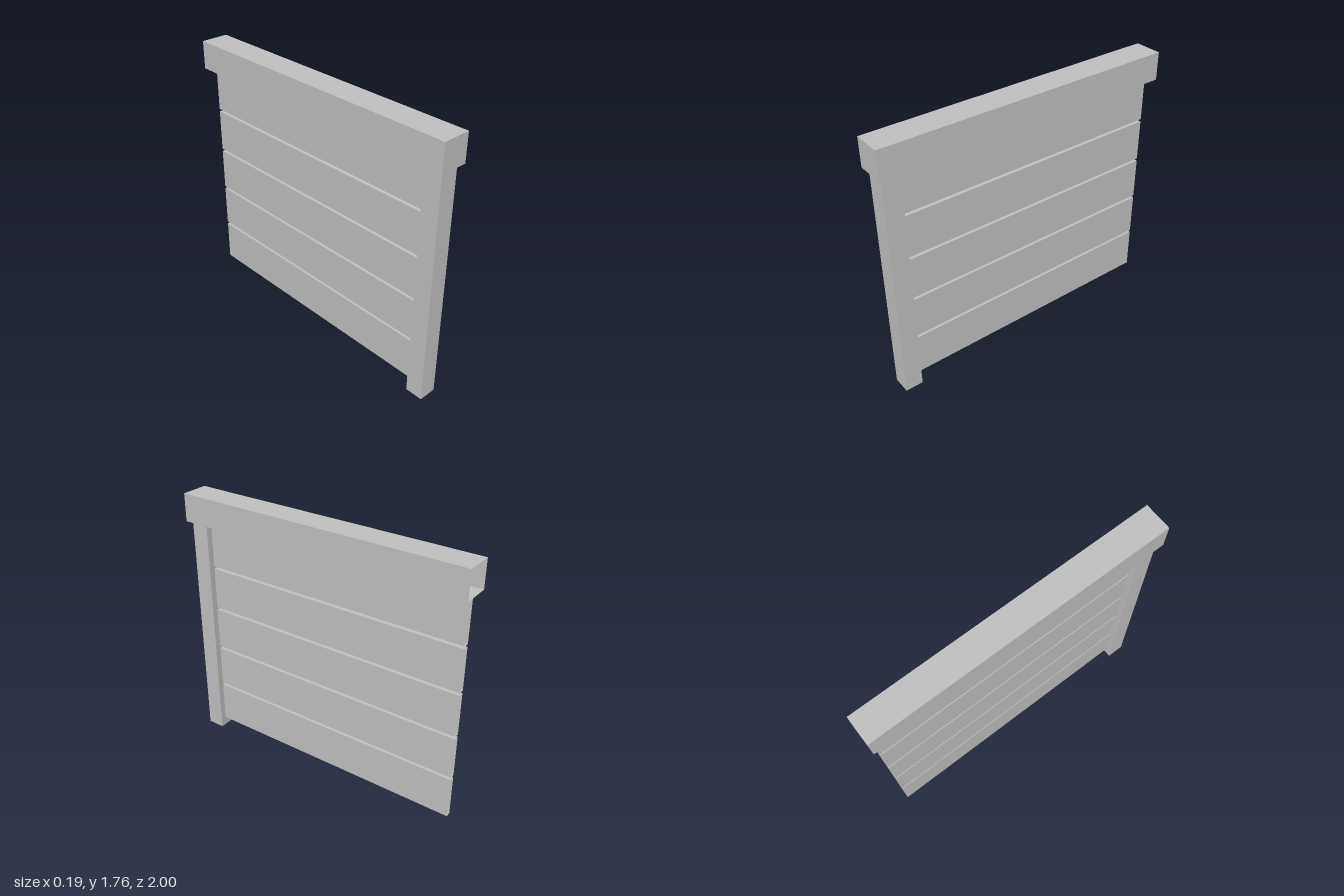
import * as THREE from 'three';

// BoxGeometry face order: +x 0, -x 1, +y 2, -y 3, +z 4, -z 5
const BOTTOM = 3, FRONT = 4, BACK = 5;

// Thin-walled box between two corners, with some faces left open
function shell(name, min, max, open, material) {
  const size = max.map((v, i) => v - min[i]);
  const geometry = new THREE.BoxGeometry(...size);
  const index = Array.from(geometry.index.array);
  geometry.setIndex(index.filter((_, i) => !open.includes(Math.floor(i / 6))));
  geometry.clearGroups();
  const mesh = new THREE.Mesh(geometry, material);
  mesh.name = name;
  mesh.position.set(...max.map((v, i) => (v + min[i]) / 2));
  return mesh;
}

export function createModel() {
  const group = new THREE.Group();
  group.name = 'fenceSection';
  const grey = new THREE.MeshStandardMaterial({ color: 0xc0c0c0, side: THREE.DoubleSide });
  grey.name = 'light grey';

  // Top rail, open where the next section joins
  group.add(shell('topRail', [-0.0925, 1.575, -1], [0.0925, 1.76, 1], [BACK], grey));

  // Hollow post, open underneath
  group.add(shell('post', [-0.06, 0, 0.857], [0.06, 1.575, 0.975], [BOTTOM], grey));

  // Five hollow boards with open ends
  for (let i = 0; i < 5; i++) {
    const y = 0.06 + i * 0.3025;
    group.add(shell(`board${i + 1}`, [-0.018, y, -0.975], [0.018, y + 0.285, 0.857], [FRONT, BACK], grey));
  }
  return group;
}
